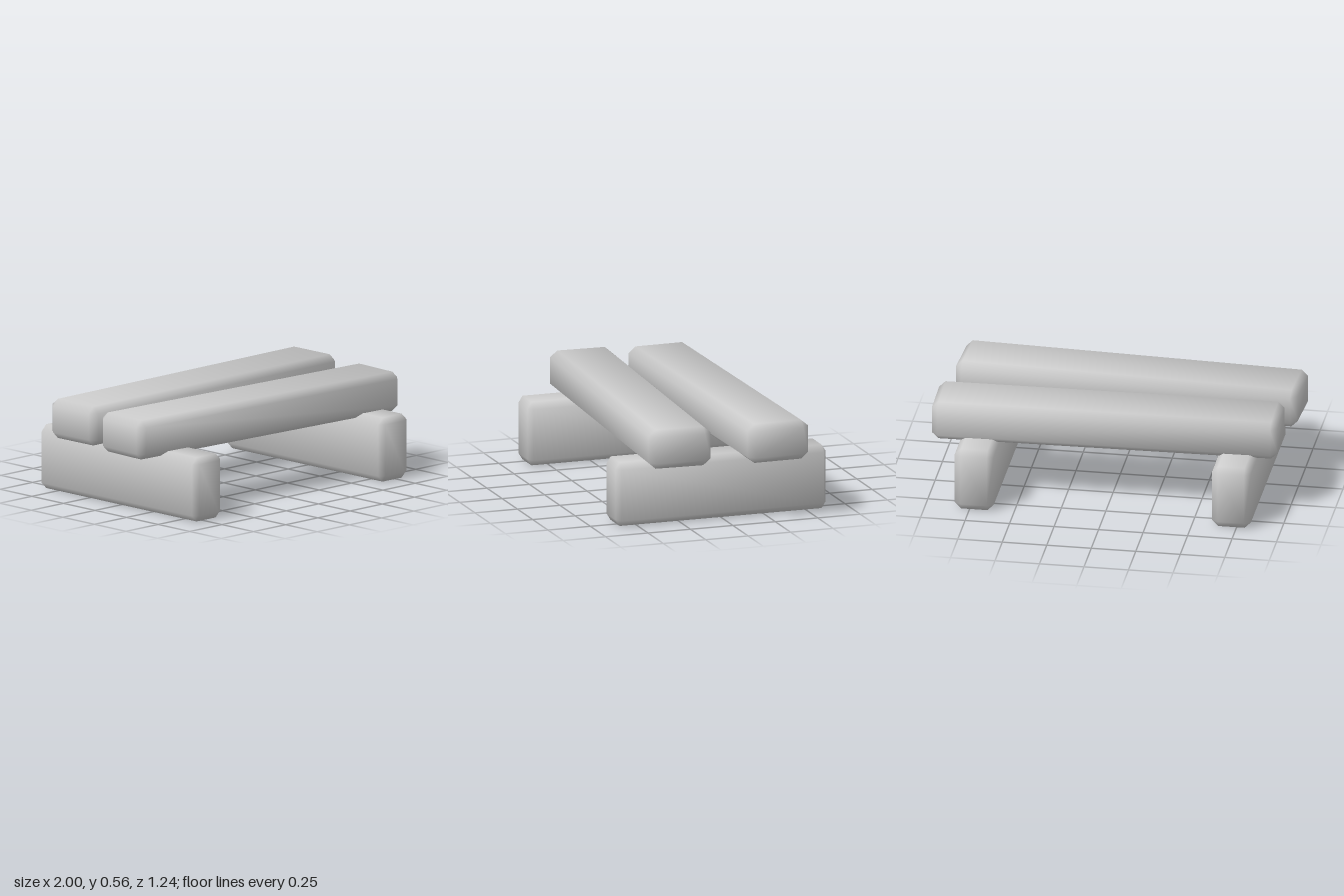
import * as THREE from 'three';
import { ConvexGeometry } from 'three/addons/geometries/ConvexGeometry.js';
import { mergeVertices } from 'three/addons/utils/BufferGeometryUtils.js';

const material = new THREE.MeshStandardMaterial({ color: 0xcccccc });

// Box with bevelled edges and corners, softly shaded across the bevels
function bevelledBeam(size, bevel) {
  const half = size.map((s) => s / 2);
  const points = [];
  for (const sx of [-1, 1]) for (const sy of [-1, 1]) for (const sz of [-1, 1]) {
    const sign = [sx, sy, sz];
    // each corner is cut into three points, one per adjoining face
    for (let face = 0; face < 3; face++) {
      points.push(new THREE.Vector3(...sign.map((s, i) => s * (half[i] - (i === face ? 0 : bevel[i])))));
    }
  }
  const hull = new ConvexGeometry(points);
  hull.deleteAttribute('normal');
  const geometry = mergeVertices(hull, 1e-5);

  // Normals lean outward from each flat face towards its corners
  const pos = geometry.attributes.position;
  const normals = [];
  for (let i = 0; i < pos.count; i++) {
    const p = [pos.getX(i), pos.getY(i), pos.getZ(i)];
    const n = p.map((v, k) => Math.sign(v) * (Math.abs(v) > half[k] - bevel[k] / 2 ? 0.876 : 0.34));
    normals.push(...n);
  }
  geometry.setAttribute('normal', new THREE.Float32BufferAttribute(normals, 3));
  geometry.normalizeNormals();
  return geometry;
}

export function createModel() {
  const group = new THREE.Group();
  group.name = 'plankBench';

  const add = (name, geometry, x, y, z, turn = 0) => {
    const mesh = new THREE.Mesh(geometry, material);
    mesh.name = name;
    mesh.position.set(x, y, z);
    mesh.rotation.y = turn;
    group.add(mesh);
  };

  // Two supports running front to back
  const support = bevelledBeam([0.22, 0.363, 1.236], [0.036, 0.036, 0.023]);
  add('leftSupport', support, 0.724, 0.1815, 0);
  add('rightSupport', support, -0.721, 0.1815, 0);

  // Two planks laid across, each slightly askew
  const plank = bevelledBeam([1.937, 0.222, 0.36], [0.036, 0.036, 0.042]);
  add('frontPlank', plank, -0.027, 0.447, 0.236, -0.048);
  add('backPlank', plank, 0.025, 0.447, -0.264, 0.0165);

  return group;
}
